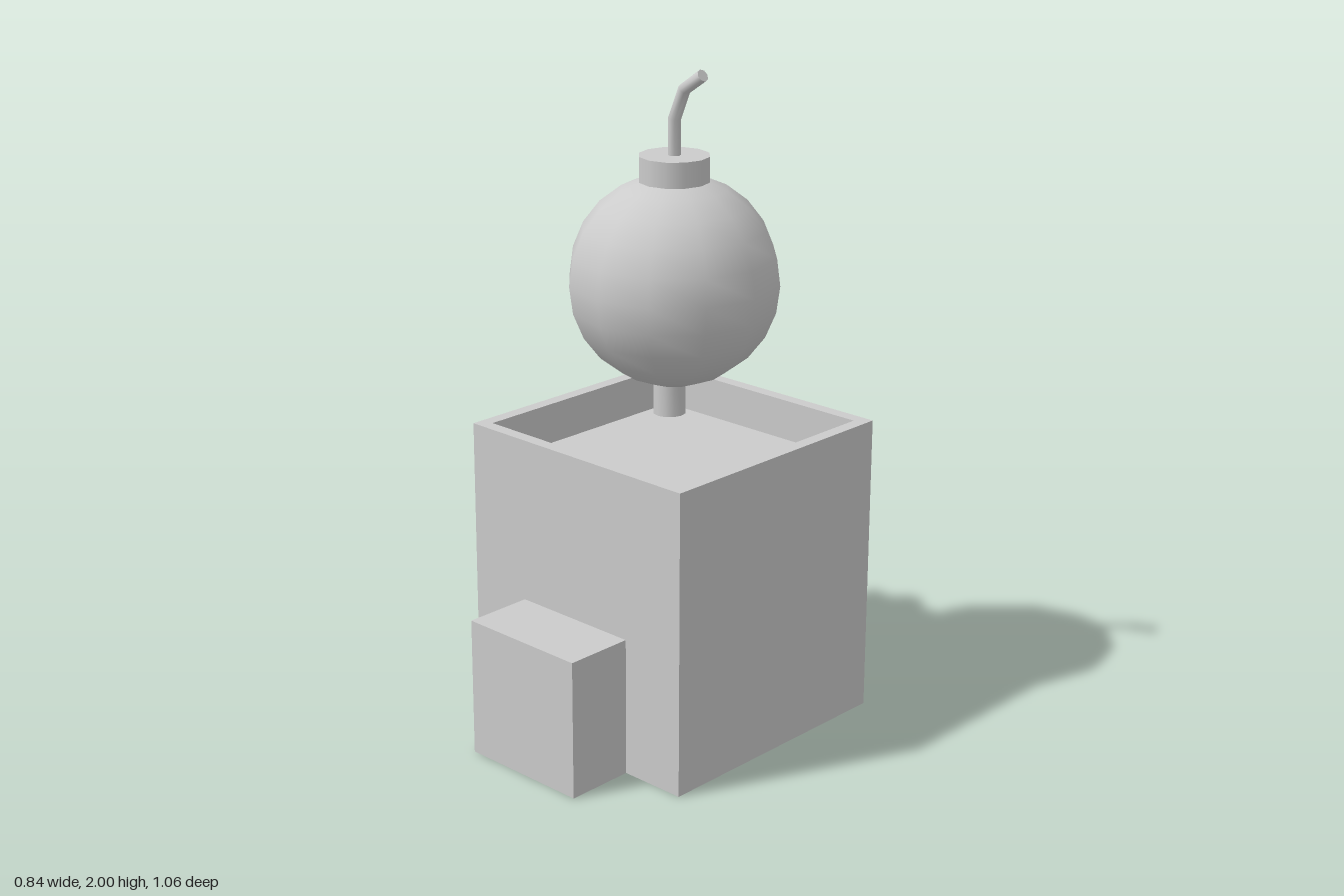
import * as THREE from 'three';
import { toCreasedNormals } from 'three/addons/utils/BufferGeometryUtils.js';

const material = new THREE.MeshStandardMaterial({ color: 0xcccccc });
const CENTRE_Z = -0.105; // axis shared by building and bomb

function add(parent, name, geometry, x, y, z) {
  const mesh = new THREE.Mesh(geometry, material);
  mesh.name = name;
  mesh.position.set(x, y, z);
  parent.add(mesh);
  return mesh;
}

// Closed profile of a building: outside wall, parapet rim, inside wall, sunken roof.
// A four-sided lathe makes a square block; radii are half-widths times sqrt 2.
function buildingGeometry() {
  const profile = [[0, 0], [0.42, 0], [0.42, 0.93], [0.38, 0.93], [0.38, 0.805], [0, 0.805]]
    .map(([r, y]) => new THREE.Vector2(r * Math.SQRT2, y));
  const geometry = new THREE.LatheGeometry(profile, 4, Math.PI / 4);
  return toCreasedNormals(geometry, 0.3);
}

// Open pipe with wall thickness
function pipeGeometry(outer, inner, height) {
  const profile = [[outer, 0], [outer, height], [inner, height], [inner, 0]]
    .map(([r, y]) => new THREE.Vector2(r, y));
  return toCreasedNormals(new THREE.LatheGeometry(profile, 12), 0.7);
}

// Cylinder whose rings are moved and tilted along a bent path
function fuseGeometry(radius) {
  const rings = [
    { x: 0, y: 1.73, tilt: 0 },
    { x: 0, y: 1.845, tilt: 0.2 },
    { x: 0.038, y: 1.935, tilt: 0.7 },
    { x: 0.108, y: 1.983, tilt: 0.98 },
  ];
  const geometry = new THREE.CylinderGeometry(radius, radius, 3, 8, 3);
  const p = geometry.attributes.position;
  for (let i = 0; i < p.count; i++) {
    const ring = rings[Math.round(p.getY(i) + 1.5)];
    const x = p.getX(i);
    p.setXYZ(i, ring.x + x * Math.cos(ring.tilt), ring.y - x * Math.sin(ring.tilt), p.getZ(i));
  }
  return toCreasedNormals(geometry, 0.9);
}

export function createModel() {
  const model = new THREE.Group();
  model.name = 'bombShop';

  // Building with sunken roof, porch and chimney
  const building = new THREE.Group();
  building.name = 'building';
  model.add(building);
  add(building, 'walls', buildingGeometry(), 0, 0, CENTRE_Z);
  add(building, 'porch', new THREE.BoxGeometry(0.42, 0.425, 0.215), 0, 0.2125, 0.4225);
  add(building, 'chimney', pipeGeometry(0.052, 0.042, 0.255), -0.318, 0.805, -0.425);

  // Round bomb floating above the roof
  const bomb = new THREE.Group();
  bomb.name = 'bomb';
  bomb.position.z = CENTRE_Z;
  model.add(bomb);
  add(bomb, 'bombBody', new THREE.SphereGeometry(0.315, 12, 12), 0, 1.37, 0);
  add(bomb, 'bombCap', new THREE.CylinderGeometry(0.105, 0.105, 0.08, 12), 0, 1.7, 0);
  add(bomb, 'fuse', fuseGeometry(0.019), 0, 0, 0);

  return model;
}
